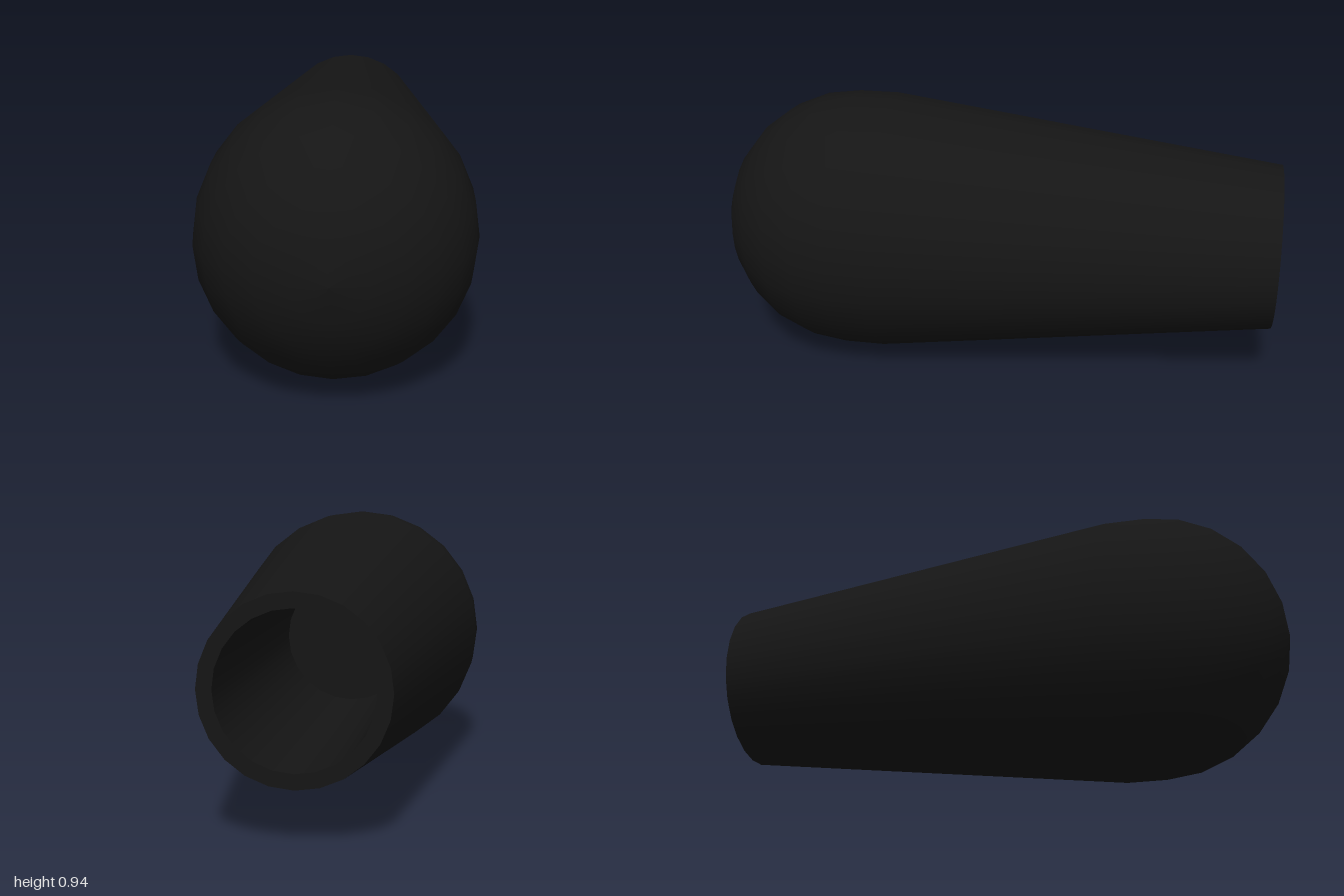
import * as THREE from 'three';

const SIDES = 24;
const R = 0.468;        // largest radius, also the radius of the domed end
const DOME_Z = 1 - R;   // centre of the dome
const BACK_R = 0.292;   // outer radius at the open end
const HOLE_R = 0.243;   // radius of the socket
const HOLE_END = 0.2;   // depth position of the socket floor

export function createModel() {
  const group = new THREE.Group();
  group.name = 'knob';
  const material = new THREE.MeshStandardMaterial({ color: 0x151515 });

  // Turns a [radius, z] profile around the z axis, at mid height
  const turn = (name, profile) => {
    const points = profile.map(([r, z]) => new THREE.Vector2(r, z));
    const geometry = new THREE.LatheGeometry(points, SIDES);
    geometry.rotateX(Math.PI / 2);
    const mesh = new THREE.Mesh(geometry, material);
    mesh.name = name;
    mesh.position.y = R;
    group.add(mesh);
  };

  // Tapered grip running into a hemispherical front end
  const shell = [[BACK_R, -1], [R, 0.39]];
  for (let i = 0; i <= 6; i++) {
    const a = (i / 6) * Math.PI / 2;
    shell.push([i === 6 ? 0 : R * Math.cos(a), DOME_Z + R * Math.sin(a)]);
  }
  turn('gripShell', shell);

  // Flat ring around the opening
  turn('rim', [[HOLE_R, -1], [BACK_R, -1]]);

  // Blind hole in the back end
  turn('socketWall', [[HOLE_R, HOLE_END], [HOLE_R, -1]]);
  turn('socketFloor', [[0, HOLE_END], [HOLE_R, HOLE_END]]);

  return group;
}
